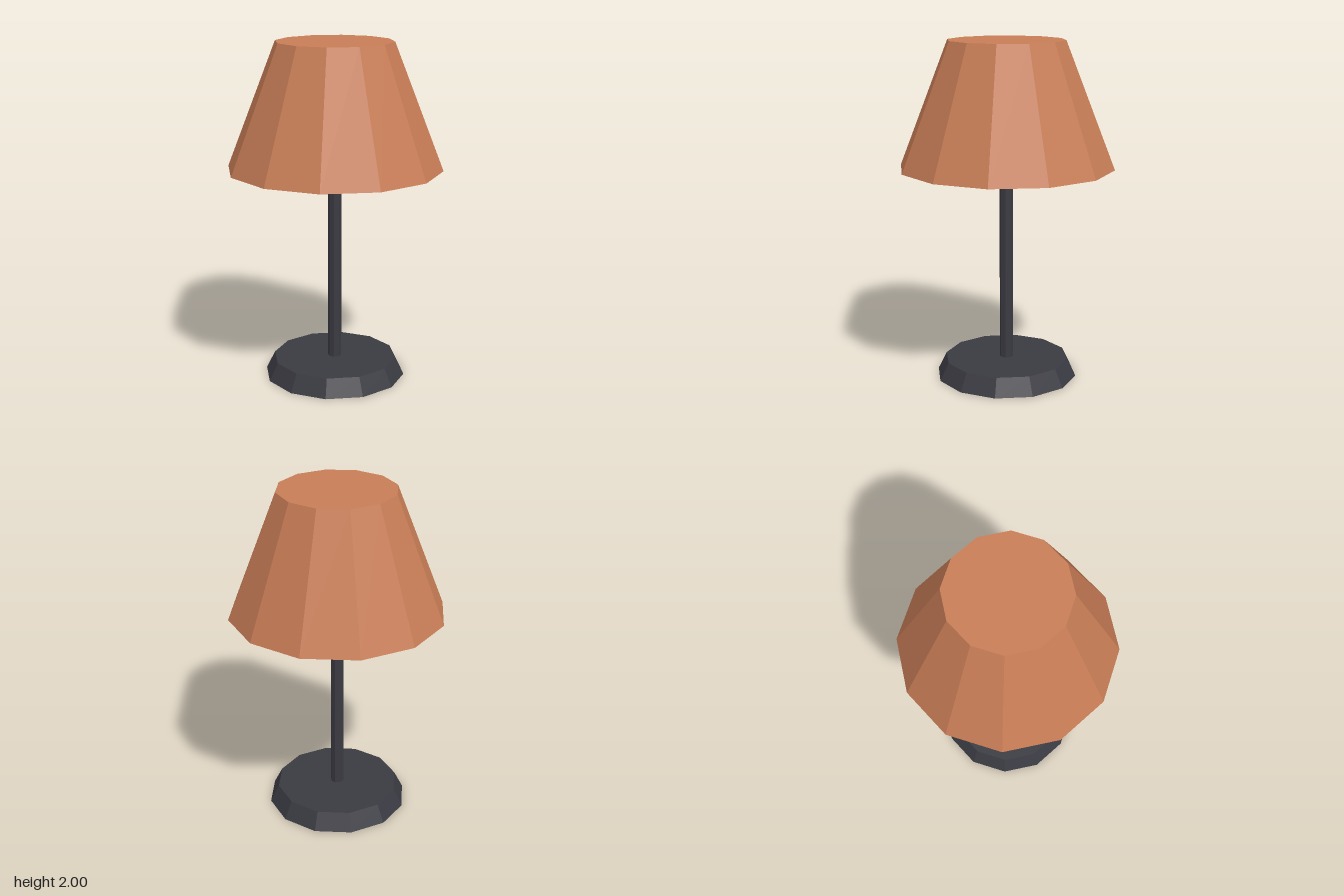
import * as THREE from 'three';

export function createModel() {
  const lamp = new THREE.Group();
  lamp.name = 'tableLamp';

  const metal = new THREE.MeshStandardMaterial({ color: 0x3a3a42, flatShading: true });
  metal.name = 'darkMetal';
  const fabric = new THREE.MeshStandardMaterial({ color: 0xc87d56, flatShading: true });
  fabric.name = 'terracottaShade';

  // Faceted tapered cylinder standing between two heights
  function tapered(name, topRadius, bottomRadius, y0, y1, sides, material) {
    const geometry = new THREE.CylinderGeometry(topRadius, bottomRadius, y1 - y0, sides);
    const mesh = new THREE.Mesh(geometry, material);
    mesh.name = name;
    mesh.position.y = (y0 + y1) / 2;
    lamp.add(mesh);
  }

  tapered('base', 0.368, 0.42, 0, 0.105, 12, metal);
  tapered('pole', 0.04, 0.04, 0.105, 1.28, 8, metal);
  tapered('shade', 0.342, 0.63, 1.265, 2, 12, fabric);

  return lamp;
}
